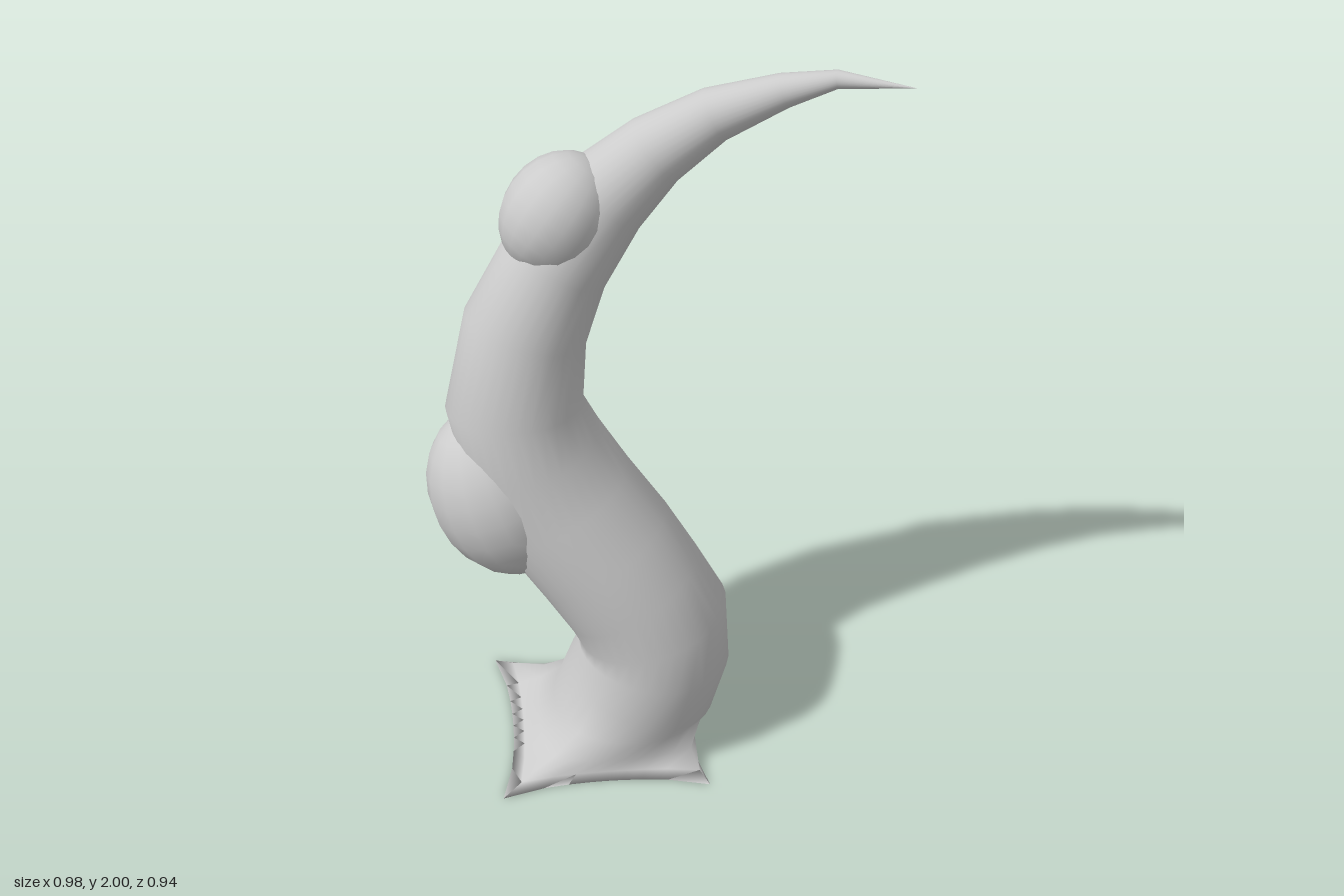
import * as THREE from 'three';

const SIDES = 32;
const UP = new THREE.Vector3(0, 1, 0);
// normal of the vertical plane in which the horn sways
const SWAY = new THREE.Vector3(0.6, 0, 0.8);
const SWAY_ANGLE = Math.atan2(-0.8, 0.6);

// Rings: x, y, z, radius, and (flat rings only) star power: below 2 is pointed
const foot = [
  // hollow underside, from its middle out to the rim
  [-0.05, 0.06, 0.04, 0, 2],
  [-0.05, 0.05, 0.04, 0.15, 2],
  [-0.06, 0.015, 0.05, 0.29, 1.1],
  // pointed rim, then the flare up to the round stem
  [-0.07, 0, 0.06, 0.41, 0.82],
  [-0.06, 0.02, 0.05, 0.355, 0.9],
  [-0.03, 0.06, 0.03, 0.277, 1.25],
  [0.0, 0.115, 0.0, 0.23, 1.8],
];
const horn = [
  [0.03, 0.19, -0.015, 0.218],
  [0.055, 0.3, -0.038, 0.214],
  [0.05, 0.41, -0.035, 0.214],
  [0.002, 0.51, -0.005, 0.208],
  [-0.065, 0.63, 0.035, 0.21],
  [-0.17, 0.77, 0.08, 0.21],
  [-0.235, 0.93, 0.125, 0.195],
  [-0.273, 1.08, 0.148, 0.182],
  [-0.268, 1.295, 0.1, 0.163],
  [-0.213, 1.485, 0.035, 0.142],
  [-0.137, 1.65, -0.06, 0.121],
  [-0.045, 1.77, -0.15, 0.094],
  [0.065, 1.865, -0.245, 0.069],
  [0.205, 1.937, -0.335, 0.043],
  [0.315, 1.976, -0.397, 0.023],
  [0.49, 1.976, -0.475, 0],
];

// Skin a list of rings, each square to the path through their centres
function loft(rings) {
  const centres = rings.map(([x, y, z]) => new THREE.Vector3(x, y, z));
  const positions = [], index = [];
  rings.forEach(([, , , radius, power], i) => {
    const before = centres[Math.max(i - 1, 0)];
    const after = centres[Math.min(i + 1, rings.length - 1)];
    const t = power ? UP.clone() : after.clone().sub(before).normalize();
    const e1 = SWAY.clone().addScaledVector(t, -SWAY.dot(t)).normalize();
    const e2 = t.clone().cross(e1);
    for (let j = 0; j < SIDES; j++) {
      const a = (j / SIDES) * Math.PI * 2;
      const p = power || 2;
      const r = radius / (Math.abs(Math.cos(a)) ** p + Math.abs(Math.sin(a)) ** p) ** (1 / p);
      const v = centres[i].clone()
        .addScaledVector(e1, r * Math.cos(a - SWAY_ANGLE))
        .addScaledVector(e2, r * Math.sin(a - SWAY_ANGLE));
      positions.push(v.x, v.y, v.z);
      if (i < rings.length - 1) {
        const k = (j + 1) % SIDES, lo = i * SIDES, hi = lo + SIDES;
        index.push(lo + j, lo + k, hi + k, lo + j, hi + k, hi + j);
      }
    }
  });
  const geometry = new THREE.BufferGeometry();
  geometry.setAttribute('position', new THREE.Float32BufferAttribute(positions, 3));
  geometry.setIndex(index);
  geometry.computeVertexNormals();
  return geometry;
}

export function createModel() {
  const group = new THREE.Group();
  const material = new THREE.MeshStandardMaterial({ color: 0xcccccc });
  const add = (name, geometry) => {
    const mesh = new THREE.Mesh(geometry, material);
    mesh.name = name;
    group.add(mesh);
    return mesh;
  };

  // Curved horn on a flared four-pointed foot, one smooth skin
  add('horn', loft([...foot, ...horn]));

  // Egg-shaped swellings, long axis roughly along the horn
  const swelling = (name, centre, axis, width, length) => {
    const mesh = add(name, new THREE.SphereGeometry(1, 16, 12));
    mesh.position.set(...centre);
    mesh.scale.set(width, length, width);
    mesh.quaternion.setFromUnitVectors(UP, new THREE.Vector3(...axis).normalize());
  };
  swelling('lowerSwelling', [-0.29, 0.81, 0.19], [-0.3, 0.9, 0.15], 0.197, 0.25);
  swelling('upperSwelling', [-0.203, 1.62, 0.038], [0.35, 0.8, -0.5], 0.139, 0.165);
  return group;
}
